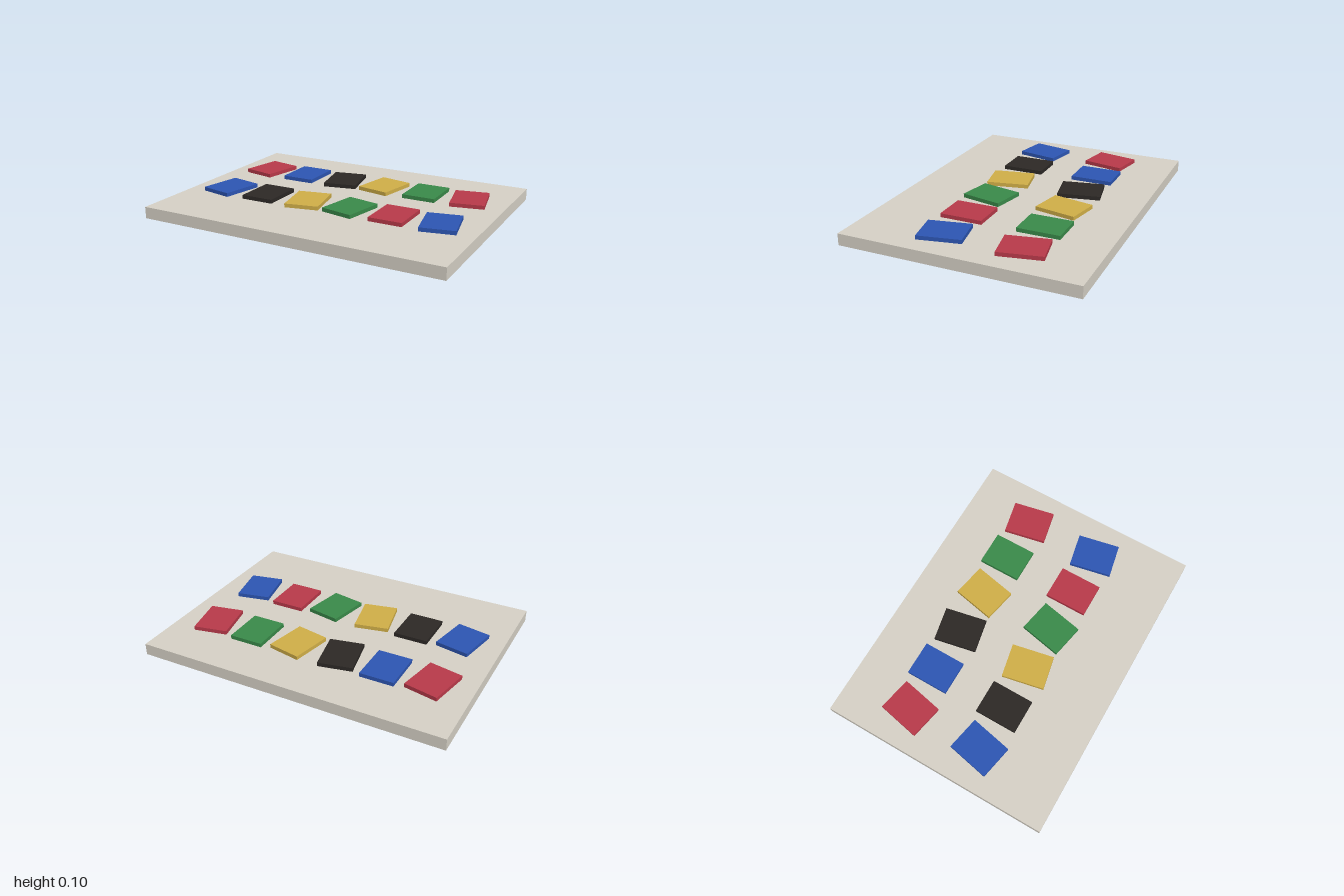
import * as THREE from 'three';

const COLORS = { red: 0xba3a4a, blue: 0x2d56b4, black: 0x2d2926, yellow: 0xd2b048, green: 0x3a8b4a };
const ROWS = [
  { z: -0.3125, colors: ['red', 'blue', 'black', 'yellow', 'green', 'red'] },
  { z: 0.1875, colors: ['blue', 'black', 'yellow', 'green', 'red', 'blue'] },
];
const BASE_HEIGHT = 0.075;
const TILE_HEIGHT = 0.025;

export function createModel() {
  const model = new THREE.Group();
  model.name = 'tileBoard';

  // Flat board
  const board = new THREE.Mesh(
    new THREE.BoxGeometry(2, BASE_HEIGHT, 1.5),
    new THREE.MeshStandardMaterial({ color: 0xd8d3c8 })
  );
  board.name = 'board';
  board.position.y = BASE_HEIGHT / 2;
  model.add(board);

  // Two rows of coloured tiles, tilted alternately right, straight, left
  const tileGeometry = new THREE.BoxGeometry(0.22, TILE_HEIGHT, 0.275);
  const materials = {};
  for (const [name, color] of Object.entries(COLORS)) {
    materials[name] = new THREE.MeshStandardMaterial({ color });
  }
  ROWS.forEach(({ z, colors }, row) => {
    const rowGroup = new THREE.Group();
    rowGroup.name = row === 0 ? 'backTileRow' : 'frontTileRow';
    colors.forEach((color, i) => {
      const tile = new THREE.Mesh(tileGeometry, materials[color]);
      tile.name = `${color}Tile${i + 1}`;
      tile.position.set(-0.75 + i * 0.3, BASE_HEIGHT + TILE_HEIGHT / 2, z);
      tile.rotation.y = ((i % 3) - 1) * 0.2;
      rowGroup.add(tile);
    });
    model.add(rowGroup);
  });

  return model;
}
